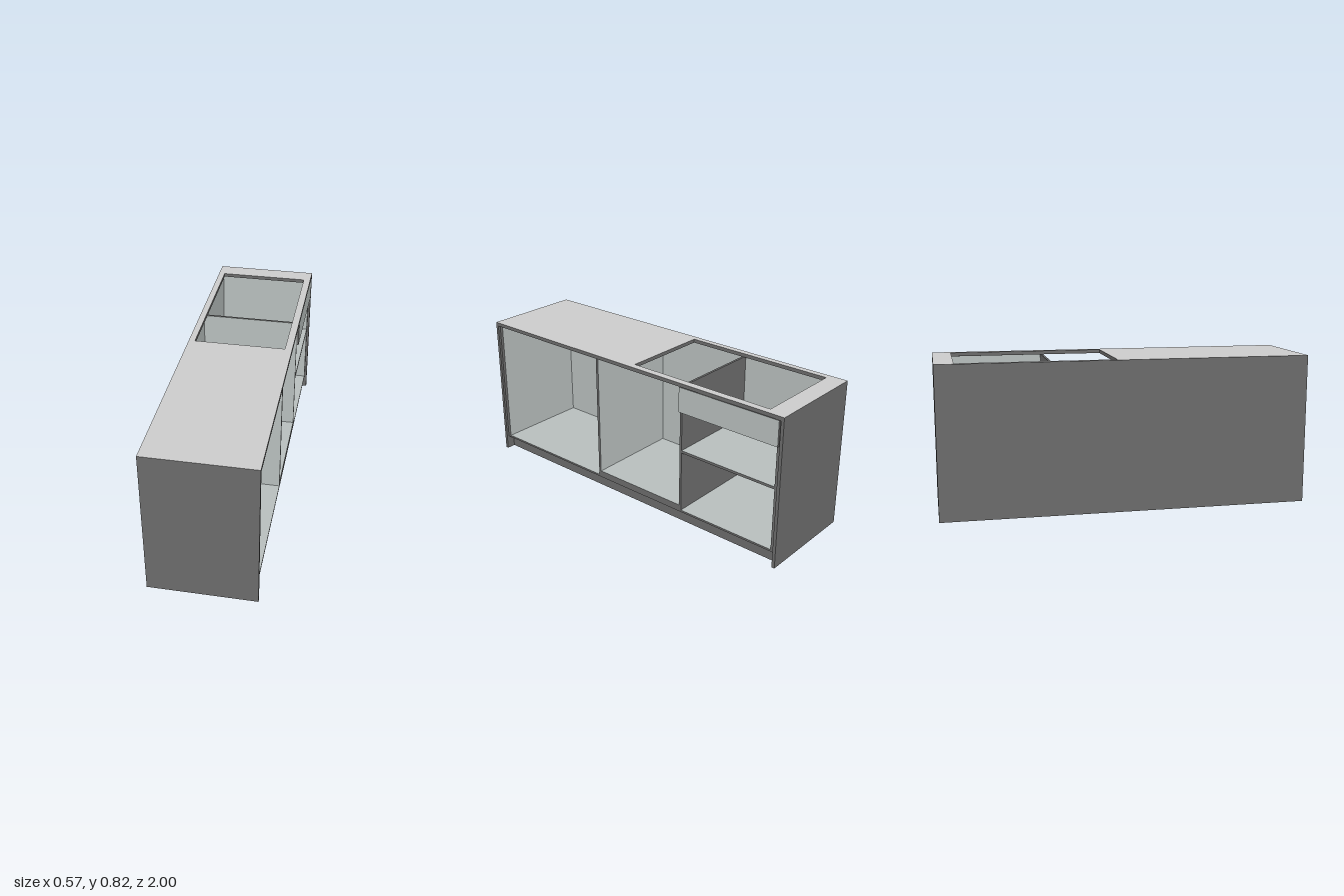
import * as THREE from 'three';

const dark = new THREE.MeshStandardMaterial({ color: 0x6b6b6b });
const light = new THREE.MeshStandardMaterial({ color: 0xcccccc });
const lining = new THREE.MeshStandardMaterial({ color: 0xb7bebd });

const SIDES = ['+x', '-x', '+y', '-y', '+z', '-z'];

// Board between two corners; the listed sides carry the pale lining
function board(name, [x0, x1], [y0, y1], [z0, z1], lined = []) {
  const geometry = new THREE.BoxGeometry(x1 - x0, y1 - y0, z1 - z0);
  const mesh = new THREE.Mesh(geometry, SIDES.map(s => (lined.includes(s) ? lining : dark)));
  mesh.position.set((x0 + x1) / 2, (y0 + y1) / 2, (z0 + z1) / 2);
  mesh.name = name;
  return mesh;
}

// Closed rectangle in plan, as (x, -z) points
function rectangle(Type, x0, x1, z0, z1) {
  return new Type([[x0, -z1], [x1, -z1], [x1, -z0], [x0, -z0]].map(p => new THREE.Vector2(...p)));
}

// Worktop with a rectangular cut-out, pale on its upper face only
function worktop(y, thickness, w) {
  const shape = rectangle(THREE.Shape, -w, w, -1, 1);
  shape.holes.push(rectangle(THREE.Path, -0.249, 0.244, -0.898, -0.055));
  const geometry = new THREE.ExtrudeGeometry(shape, { depth: thickness, bevelEnabled: false });
  geometry.rotateX(-Math.PI / 2);
  const [caps, walls] = geometry.groups.map(g => ({ ...g }));
  geometry.clearGroups();
  geometry.addGroup(caps.start, caps.count / 2, 0);
  geometry.addGroup(caps.start + caps.count / 2, caps.count / 2, 1);
  geometry.addGroup(walls.start, walls.count, 0);
  const mesh = new THREE.Mesh(geometry, [dark, light]);
  mesh.position.y = y;
  mesh.name = 'worktop';
  return mesh;
}

export function createModel() {
  const model = new THREE.Group();
  model.name = 'counterCabinet';

  const w = 0.283;               // half depth of the counter
  const top = 0.80;              // underside of the worktop
  const base = 0.077;            // underside of the carcass
  const inside = [-0.268, 0.27]; // carcass depth

  model.add(worktop(top, 0.02, w));

  // Outer shell: back panel and the two end panels, down to the ground
  model.add(board('backPanel', [-w, -0.268], [0, top], [-0.983, 0.983], ['+x']));
  for (const [name, s] of [['front', 1], ['rear', -1]]) {
    const span = (a, b) => [s * a, s * b].sort((p, q) => p - q);
    model.add(board(name + 'EndPanel', [-w, w], [0, top], span(0.983, 1)));
    model.add(board(name + 'CarcassSide', inside, [base, top], span(0.963, 0.983),
      [s > 0 ? '-z' : '+z']));
  }

  // Uprights between the three compartments
  model.add(board('frontDivider', inside, [base, top], [0.188, 0.203], ['+z', '-z']));
  model.add(board('rearDivider', inside, [base, top], [-0.394, -0.381], ['+z']));

  // Compartment floors; the middle one is raised
  model.add(board('frontFloor', inside, [base, 0.088], [0.203, 0.963], ['+y']));
  model.add(board('middleFloor', inside, [base, 0.115], [-0.381, 0.188], ['+y']));
  model.add(board('rearFloor', inside, [base, 0.088], [-0.963, -0.394], ['+y']));

  // Shelf and fixed upper fascia in the rear compartment
  model.add(board('shelf', inside, [0.428, 0.442], [-0.963, -0.394], ['+y', '-y']));
  model.add(board('fascia', [0.27, 0.282], [0.66, 0.797], [-0.973, -0.381], ['+x', '-x']));

  // Recessed kickboard under the open side
  model.add(board('kickboard', [0.217, 0.233], [0, base], [-0.983, 0.983]));

  return model;
}
